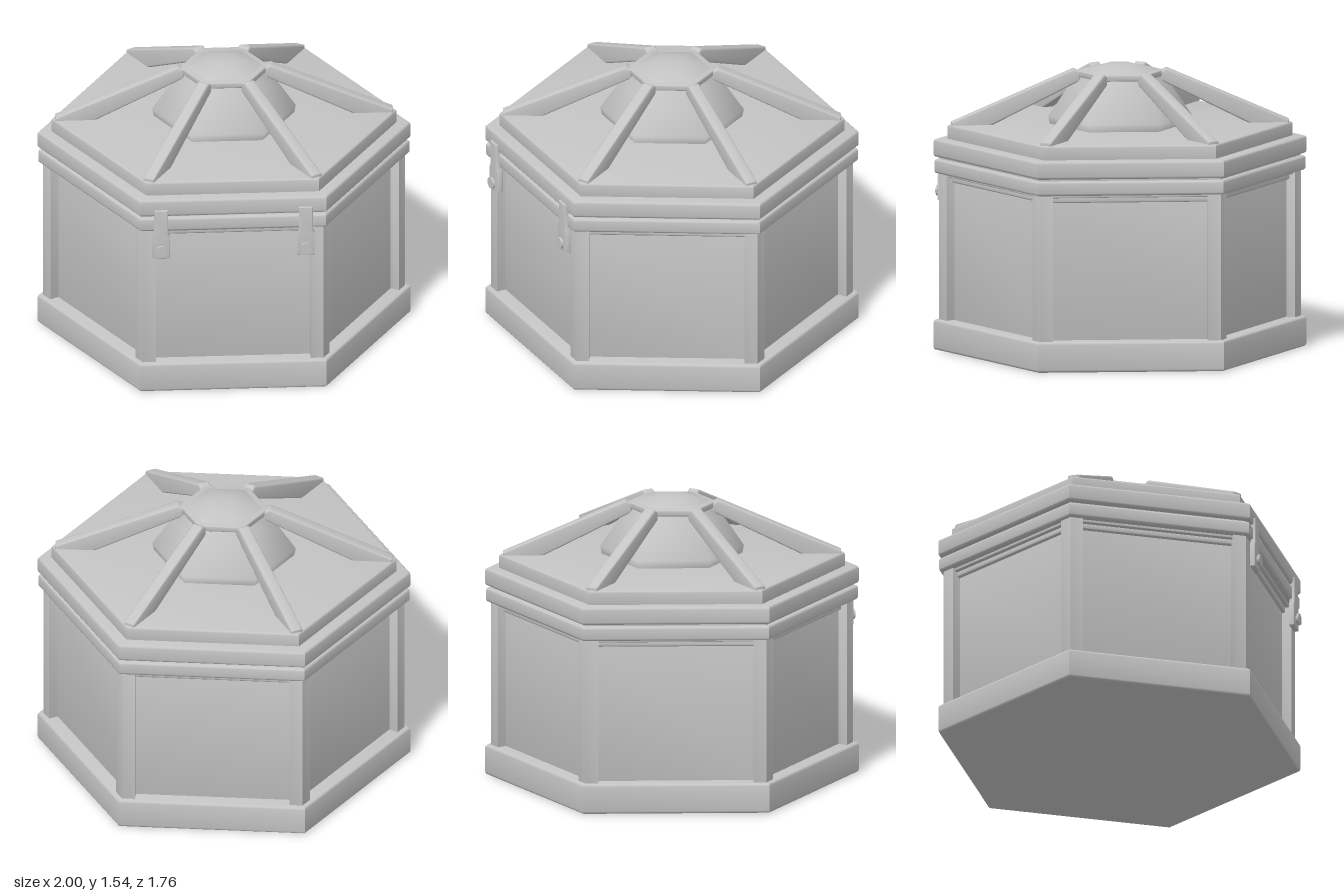
import * as THREE from 'three';
import { toCreasedNormals } from 'three/addons/utils/BufferGeometryUtils.js';

const grey = new THREE.MeshStandardMaterial({ color: 0xc4c4c4 });
grey.name = 'plain grey';

// Extrudes 2D points by depth, bevel included, starting at z = 0
function bevelled(points, depth, bevel) {
  const shape = new THREE.Shape(points.map(([x, y]) => new THREE.Vector2(x, y)));
  const geo = new THREE.ExtrudeGeometry(shape, {
    depth: depth - 2 * bevel, bevelEnabled: true, bevelSize: bevel,
    bevelThickness: bevel, bevelOffset: -bevel, bevelSegments: 3, curveSegments: 8,
  });
  geo.translate(0, 0, bevel);
  return toCreasedNormals(geo, 0.65);
}

// Stands an extrusion upright from y0 to y1
function upright(points, y0, y1, bevel) {
  return bevelled(points, y1 - y0, bevel).rotateX(-Math.PI / 2).translate(0, y0, 0);
}

function hexPoints(r) {
  return Array.from({ length: 6 }, (_, i) => {
    const a = i * Math.PI / 3;
    return [r * Math.cos(a), r * Math.sin(a)];
  });
}

function add(parent, name, geometry) {
  const mesh = new THREE.Mesh(geometry, grey);
  mesh.name = name;
  parent.add(mesh);
  return mesh;
}

export function createModel() {
  const model = new THREE.Group();
  model.name = 'hexagonalChest';
  const chest = new THREE.Group();
  chest.name = 'chest';
  chest.position.z = -0.012;
  model.add(chest);

  // Stacked hexagonal slabs: name, corner radius, bottom, top, bevel
  [
    ['base', 1.0, 0, 0.165, 0.015],
    ['wallPanels', 0.91, 0.15, 0.97, 0.004],
    ['panelTopRail', 0.93, 0.91, 0.945, 0.008],
    ['bodyNeck', 0.955, 0.94, 0.965, 0.004],
    ['bodyRim', 0.995, 0.955, 1.034, 0.014],
    ['lidSeam', 0.965, 1.02, 1.06, 0.004],
    ['lidRim', 1.0, 1.045, 1.142, 0.015],
    ['lidTop', 0.925, 1.13, 1.218, 0.012],
    ['domeCollar', 0.238, 1.472, 1.506, 0.006],
  ].forEach(([name, r, y0, y1, b]) => add(chest, name, upright(hexPoints(r), y0, y1, b)));

  // Six-sided smooth dome
  const profile = [[0.375, 1.21], [0.385, 1.26], [0.28, 1.415], [0.22, 1.475],
    [0.2, 1.508], [0.08, 1.54], [0, 1.541]].map(([r, y]) => new THREE.Vector2(r, y));
  add(chest, 'dome', new THREE.LatheGeometry(profile, 6, Math.PI / 2));

  // Corner posts wrap each edge; ribs run from lid corners to the collar
  const s = Math.sqrt(3) / 2, w = 0.07, d = 0.06;
  const postOutline = [
    [0.97, 0], [0.97 - w / 2, w * s], [0.97 - w / 2 - d * s, w * s - d / 2],
    [0.97 - w / 2 - d * s, d / 2 - w * s], [0.97 - w / 2, -w * s],
  ];
  const postGeo = upright(postOutline, 0.155, 0.965, 0.008);
  const ribOutline = [[0.72, 1.2], [0.905, 1.2], [0.905, 1.232], [0.25, 1.516],
    [0.215, 1.5], [0.215, 1.452]];
  const ribGeo = bevelled(ribOutline, 0.066, 0.01).translate(0, 0, -0.033);
  for (let i = 0; i < 6; i++) {
    add(chest, 'cornerPost', postGeo).rotation.y = i * Math.PI / 3;
    add(chest, 'lidRib', ribGeo).rotation.y = i * Math.PI / 3;
  }

  // Front latches: stepped strap with a round button
  const strapOutline = [[-0.047, 0.8], [0.047, 0.8], [0.047, 0.93], [0.037, 0.945],
    [0.037, 1.085], [-0.037, 1.085], [-0.037, 0.945], [-0.047, 0.93]];
  const strapGeo = bevelled(strapOutline, 0.03, 0.005);
  const buttonGeo = new THREE.CylinderGeometry(0.032, 0.032, 0.012, 20).rotateX(Math.PI / 2);
  const stemGeo = new THREE.CylinderGeometry(0.02, 0.02, 0.03, 16).rotateX(Math.PI / 2);
  for (const side of [-1, 1]) {
    const latch = new THREE.Group();
    latch.name = side > 0 ? 'leftLatch' : 'rightLatch';
    latch.position.x = side * 0.388;
    add(latch, 'strap', strapGeo).position.z = 0.834;
    add(latch, 'buttonStem', stemGeo).position.set(0, 0.848, 0.862);
    add(latch, 'button', buttonGeo).position.set(0, 0.848, 0.878);
    model.add(latch);
  }
  return model;
}
